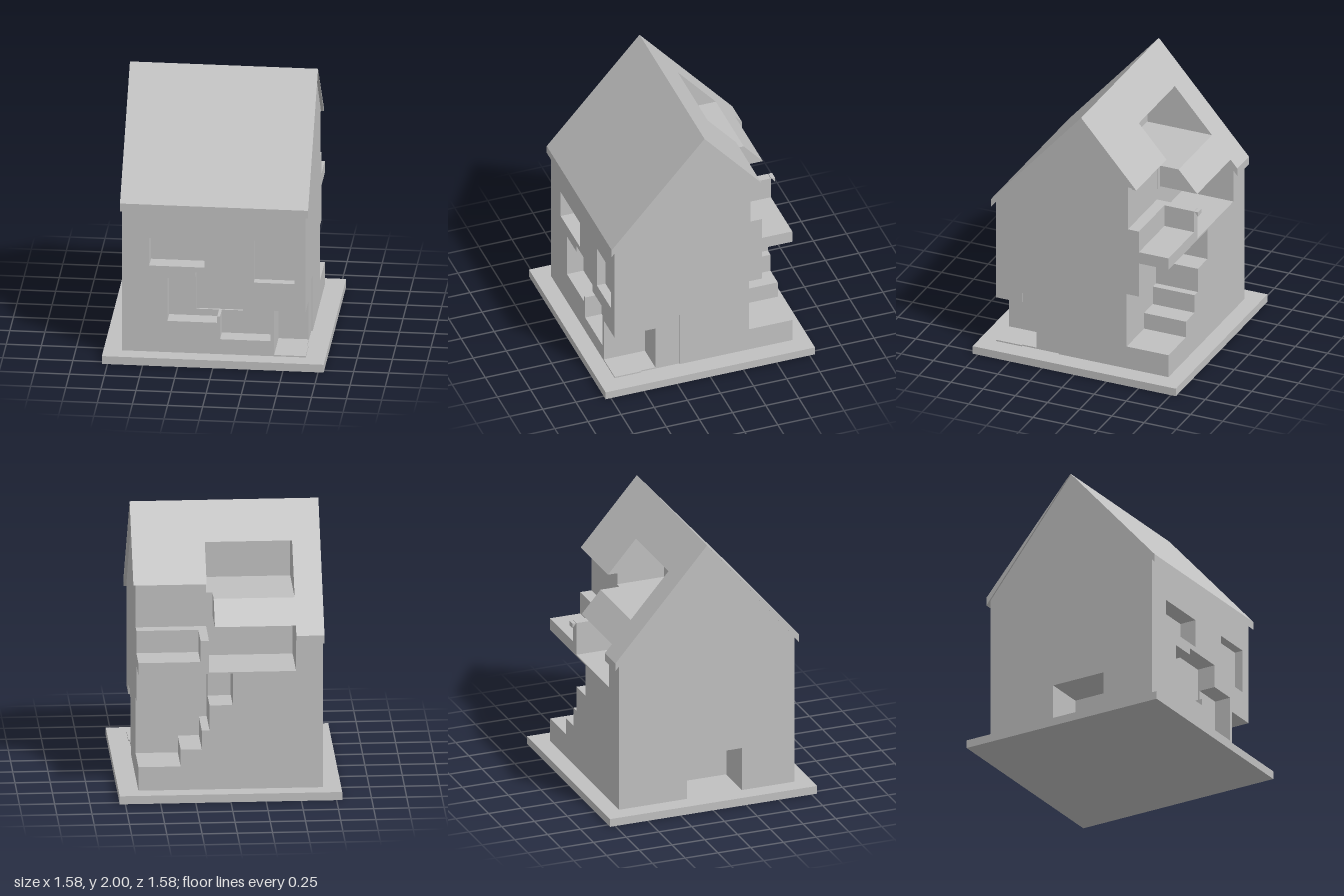
import * as THREE from 'three';

const FAR = 1;
const PEAK = 2;
const OUTER = 0.8 / 0.7;   // pitch of the roof surface
const INNER = 0.86 / 0.7;  // pitch of the roof underside

// Box-shaped cuts: x0, x1, y0, y1, z0, z1
const CUTS = [
  // front windows
  [-0.465, -0.07, 0.72, 0.93, 0.545, FAR],
  [-0.335, 0.02, 0.30, 0.63, 0.545, FAR],
  [-0.14, 0.19, 0.35, 0.68, 0.53, FAR],
  [0.04, 0.40, 0.175, 0.51, 0.545, FAR],
  [0.28, 0.57, 0.62, 0.945, 0.605, FAR],
  // corner porch and side doors
  [0.425, FAR, 0.07, 0.41, 0.36, FAR],
  [0.64, FAR, 0.06, 0.49, 0.18, 0.47],
  [-FAR, -0.36, 0.06, 0.385, -0.15, 0.27],
  // stepped recess at the back
  [0.35, FAR, 0.235, 0.655, -FAR, -0.345],
  [0.20, FAR, 0.36, 0.655, -FAR, -0.345],
  [0.145, FAR, 0.50, 0.655, -FAR, -0.345],
  [0.145, 0.60, 0.655, 0.92, -FAR, -0.345],
  [0.145, FAR, 0.655, 0.685, -FAR, -0.44],
  [-0.02, FAR, 0.685, 0.92, -FAR, -0.44],
  // balconies above it
  [0.21, FAR, 1.01, 1.175, -FAR, -0.44],
  [0.15, FAR, 1.175, 1.51, -FAR, -0.355],
  [-0.47, 0.15, 0.93, 1.26, -FAR, -0.27],
  [0.105, 0.15, 1.26, 1.59, -FAR, -0.36],
  // roof terrace
  [-0.47, 0.15, 1.425, 1.755, -FAR, 0],
];

// Keeps the part of a polygon where f(p) <= 0
function clip(poly, f) {
  const out = [];
  poly.forEach((p, i) => {
    const q = poly[(i + 1) % poly.length];
    const a = f(p), b = f(q);
    if (a <= 1e-7) out.push(p);
    if ((a < -1e-7 && b > 1e-7) || (a > 1e-7 && b < -1e-7)) {
      const t = a / (a - b);
      out.push(p.map((v, k) => v + (q[k] - v) * t));
    }
  });
  return out;
}

// A box with the cuts removed, kept below one roof pitch and, optionally, above another
function carved(min, max, topPitch, bottomPitch) {
  const grid = [0, 1, 2].map((a) => {
    const all = [min[a], max[a], ...CUTS.flatMap((c) => [c[2 * a], c[2 * a + 1]])];
    if (a === 2) all.push(0);
    return [...new Set(all)].filter((v) => v >= min[a] && v <= max[a]).sort((p, q) => p - q);
  });
  const solid = (cell) => {
    if (cell.some((i, a) => i < 0 || i >= grid[a].length - 1)) return false;
    const mid = cell.map((i, a) => (grid[a][i] + grid[a][i + 1]) / 2);
    return !CUTS.some((c) => mid.every((m, a) => m > c[2 * a] && m < c[2 * a + 1]));
  };

  const positions = [];
  const emit = (poly) => {
    for (let i = 1; i + 1 < poly.length; i++) positions.push(...poly[0], ...poly[i], ...poly[i + 1]);
  };
  const below = (p) => p[1] + topPitch * Math.abs(p[2]) - PEAK;
  const above = (p) => PEAK - bottomPitch * Math.abs(p[2]) - p[1];
  const trim = (poly) => {
    const kept = clip(poly, below);
    return bottomPitch ? clip(kept, above) : kept;
  };

  for (let i = 0; i < grid[0].length - 1; i++)
    for (let j = 0; j < grid[1].length - 1; j++)
      for (let k = 0; k < grid[2].length - 1; k++) {
        const cell = [i, j, k];
        if (!solid(cell)) continue;
        const lo = cell.map((n, a) => grid[a][n]);
        const hi = cell.map((n, a) => grid[a][n + 1]);

        // exposed upright and level faces
        for (let a = 0; a < 3; a++)
          for (const side of [-1, 1]) {
            const next = [...cell];
            next[a] += side;
            if (solid(next)) continue;
            const u = (a + 1) % 3, v = (a + 2) % 3;
            const quad = [[0, 0], [1, 0], [1, 1], [0, 1]].map(([s, t]) => {
              const p = [0, 0, 0];
              p[a] = side > 0 ? hi[a] : lo[a];
              p[u] = s ? hi[u] : lo[u];
              p[v] = t ? hi[v] : lo[v];
              return p;
            });
            emit(trim(side > 0 ? quad : quad.reverse()));
          }

        // sloping faces
        const slope = (pitch) => {
          const poly = [[lo[0], lo[2]], [lo[0], hi[2]], [hi[0], hi[2]], [hi[0], lo[2]]]
            .map(([x, z]) => [x, PEAK - pitch * Math.abs(z), z]);
          return clip(clip(poly, (p) => p[1] - hi[1]), (p) => lo[1] - p[1]);
        };
        emit(slope(topPitch));
        if (bottomPitch) emit(slope(bottomPitch).reverse());
      }

  const geometry = new THREE.BufferGeometry();
  geometry.setAttribute('position', new THREE.Float32BufferAttribute(positions, 3));
  geometry.computeVertexNormals();
  return geometry;
}

export function createModel() {
  const model = new THREE.Group();
  model.name = 'house';
  const grey = new THREE.MeshStandardMaterial({ color: 0xc0c0c0 });
  grey.name = 'light grey';
  const add = (name, geometry) => {
    const mesh = new THREE.Mesh(geometry, grey);
    mesh.name = name;
    model.add(mesh);
    return mesh;
  };

  add('basePlate', new THREE.BoxGeometry(1.58, 0.06, 1.58)).position.y = 0.03;
  add('walls', carved([-0.66, 0.06, -0.67], [0.65, PEAK, 0.67], INNER));
  add('roof', carved([-0.67, 1.14, -0.70], [0.67, PEAK, 0.70], OUTER, INNER));
  return model;
}
